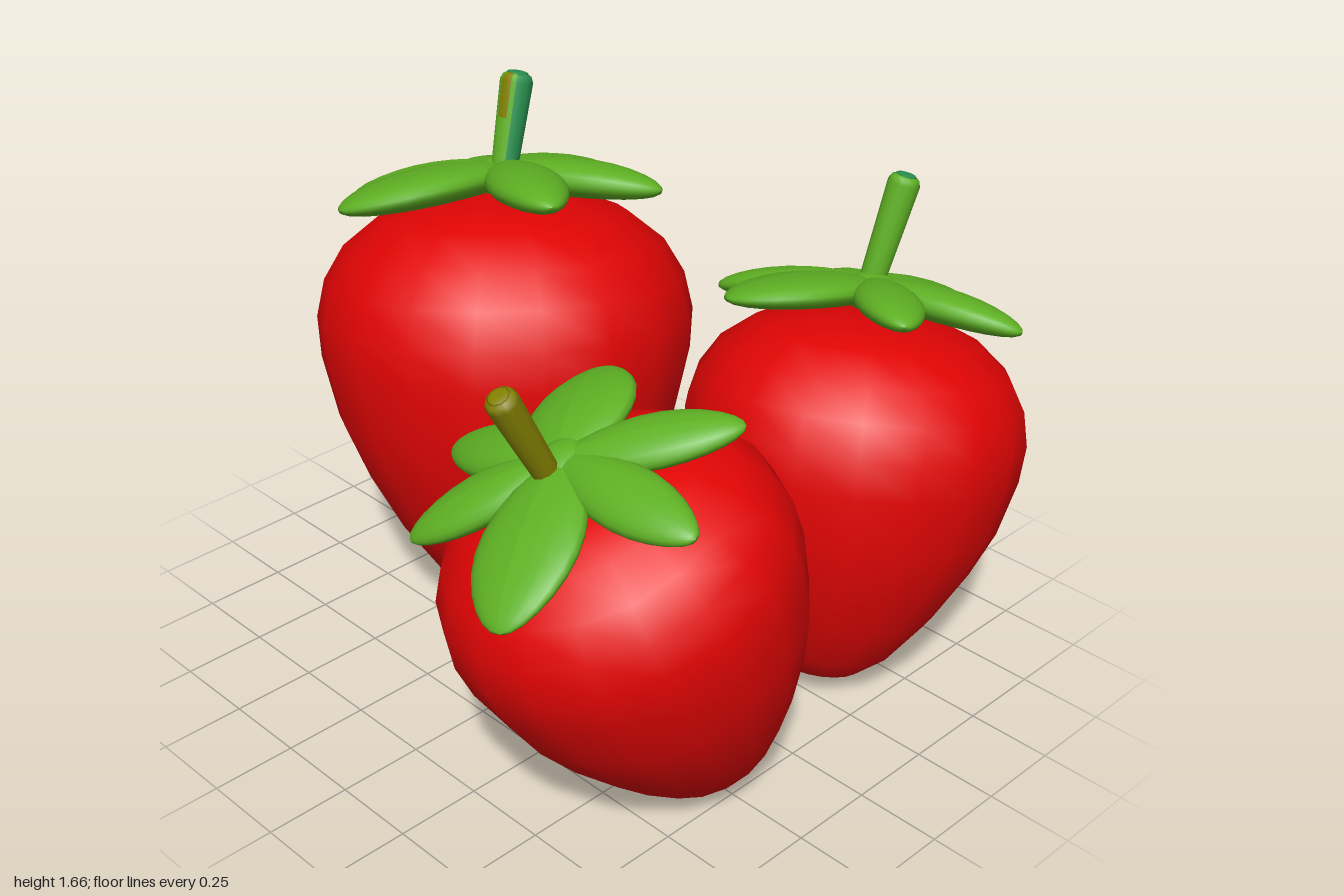
import * as THREE from 'three';

const mat = (name, color) => {
  const m = new THREE.MeshStandardMaterial({ color });
  m.name = name;
  return m;
};
const V = (a) => new THREE.Vector3(...a);
const UP = new THREE.Vector3(0, 1, 0);

// Leaf: flattened sphere along +x, tapered at both ends, drooping toward the tip
function leafGeometry(length, width) {
  const g = new THREE.SphereGeometry(1, 20, 14);
  g.rotateZ(-Math.PI / 2);
  const p = g.attributes.position;
  const inner = -0.06;
  for (let i = 0; i < p.count; i++) {
    const x = p.getX(i);
    const t = (x + 1) / 2;
    const taper = 0.95 + 0.2 * x - 0.32 * x * x;
    p.setXYZ(i, inner + (length - inner) * t, p.getY(i) * 0.056 + 0.01 - 0.06 * t * t,
      p.getZ(i) * taper * width * 0.55);
  }
  g.computeVertexNormals();
  return g;
}

export function createModel() {
  const red = mat('berryRed', 0xe20404);
  const green = mat('leafGreen', 0x5fb124);
  const teal = mat('stemDarkGreen', 0x2a9150);
  const olive = mat('stemOlive', 0x838000);

  // Berry profile: radius and height from the widest ring
  const controls = [
    [0, -0.855], [0.06, -0.85], [0.13, -0.825], [0.23, -0.745], [0.34, -0.6], [0.437, -0.43],
    [0.503, -0.28], [0.547, -0.1], [0.555, 0.02], [0.53, 0.13], [0.47, 0.23],
    [0.363, 0.315], [0.24, 0.362], [0.1, 0.382], [0, 0.385],
  ];
  const berryGeo = new THREE.LatheGeometry(controls.map(([r, y]) => new THREE.Vector2(r, y)), 18);

  // Stem: upright strips of colour (material, start angle, arc, lower end, lift) with a rounded top
  function makeStem({ from, to, radius, strips, endMat }) {
    const a = V(from), b = V(to);
    const stem = new THREE.Group();
    stem.name = 'stem';
    const len = a.distanceTo(b);
    for (const [m, start, arc, low, lift] of strips) {
      const r = radius + lift;
      const profile = [[r * (0.76 + 0.24 * low), len * low], [r, len - radius * 0.5],
        [r * 0.86, len - radius * 0.15], [r * 0.6, len]];
      const strip = new THREE.Mesh(new THREE.LatheGeometry(
        profile.map(([x, y]) => new THREE.Vector2(x, y)), 10, start, arc), m);
      strip.name = 'stemStrip';
      stem.add(strip);
    }
    const end = new THREE.Mesh(new THREE.SphereGeometry(radius * 0.66, 12, 6), endMat);
    end.name = 'stemEnd';
    end.scale.y = 0.2;
    end.position.y = len;
    stem.add(end);
    stem.position.copy(a);
    stem.quaternion.setFromUnitVectors(UP, b.sub(a).normalize());
    return stem;
  }

  // Leaves: angle in degrees, length, width
  const berries = [
    { name: 'largeStrawberry', pos: [-0.445, 0.93, -0.015], scale: 1, up: [-0.19, 1, -0.17],
      leafUp: [-0.28, 1, -0.18], offset: 0.42,
      leaves: [[-102, 0.48, 0.33], [-22, 0.5, 0.2], [27, 0.54, 0.2],
        [109, 0.5, 0.33], [155, 0.5, 0.2], [205, 0.5, 0.2]],
      stem: { from: [-0.49, 1.32, -0.05], to: [-0.51, 1.645, -0.14], radius: 0.048, endMat: teal,
        strips: [[green, -1.6, 2.4, 0, 0], [teal, 0.8, Math.PI * 2 - 2.4, 0, 0],
          [olive, -0.2, 0.7, 0.62, 0.001]] } },
    { name: 'backStrawberry', pos: [0.494, 0.758, -0.502], scale: 0.882, up: [-0.12, 1, -0.27],
      leafUp: [-0.18, 1, -0.33], offset: 0.44,
      leaves: [[-95, 0.49, 0.33], [-11, 0.52, 0.2], [40, 0.48, 0.2],
        [113, 0.51, 0.33], [162, 0.53, 0.2], [212, 0.5, 0.2]],
      stem: { from: [0.43, 1.1, -0.6], to: [0.465, 1.46, -0.7], radius: 0.046, endMat: teal,
        strips: [[green, -0.9, 4.4, 0, 0], [teal, 3.5, Math.PI * 2 - 4.4, 0, 0]] } },
    { name: 'frontStrawberry', pos: [0.514, 0.71, 0.456], scale: 0.876, up: [-0.2, 1, 0.36],
      leafUp: [-0.22, 1, 0.48], offset: 0.42,
      leaves: [[-122, 0.46, 0.33], [-38, 0.54, 0.2], [6, 0.57, 0.2],
        [68, 0.57, 0.33], [136, 0.53, 0.2], [177, 0.53, 0.2]],
      stem: { from: [0.45, 1.0, 0.61], to: [0.438, 1.32, 0.78], radius: 0.045, endMat: olive,
        strips: [[olive, 0, Math.PI * 2, 0, 0]] } },
  ];

  const model = new THREE.Group();
  model.name = 'strawberries';
  for (const b of berries) {
    const group = new THREE.Group();
    group.name = b.name;
    const up = V(b.up).normalize();

    const body = new THREE.Mesh(berryGeo, red);
    body.name = 'berry';
    body.position.set(...b.pos);
    body.scale.setScalar(b.scale);
    body.quaternion.setFromUnitVectors(UP, up);
    group.add(body);

    const crown = new THREE.Group();
    crown.name = 'leafCrown';
    crown.position.copy(body.position).addScaledVector(up, b.offset * b.scale);
    crown.scale.setScalar(b.scale);
    crown.quaternion.setFromUnitVectors(UP, V(b.leafUp).normalize());
    for (const [angle, length, width] of b.leaves) {
      const leaf = new THREE.Mesh(leafGeometry(length, width), green);
      leaf.name = 'leaf';
      leaf.rotation.y = -THREE.MathUtils.degToRad(angle);
      crown.add(leaf);
    }
    // Hub joining the leaves to the berry
    const hub = new THREE.Mesh(new THREE.SphereGeometry(0.1, 16, 10), green);
    hub.name = 'leafHub';
    hub.scale.y = 0.65;
    crown.add(hub);
    group.add(crown, makeStem(b.stem));
    model.add(group);
  }
  return model;
}
